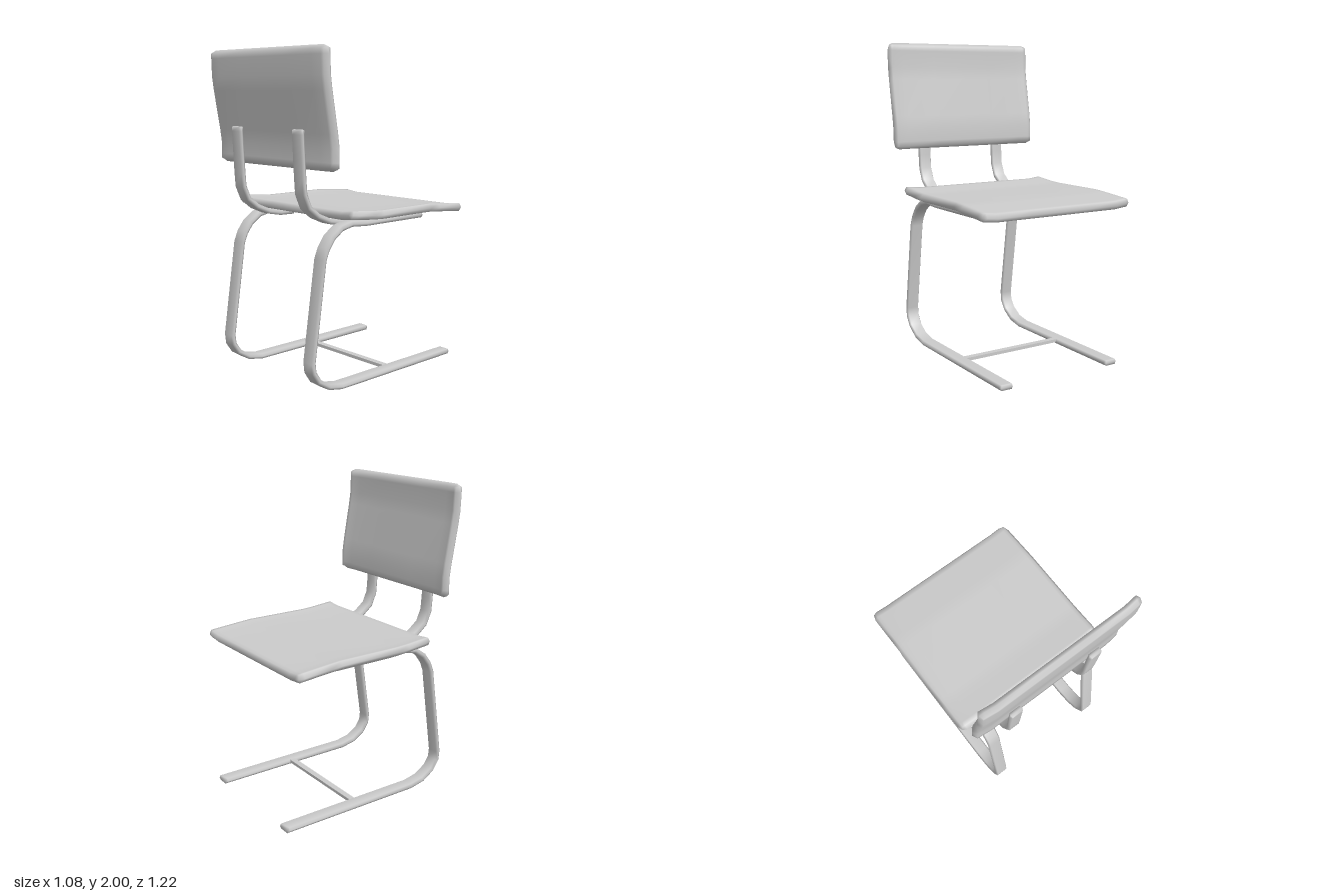
import * as THREE from 'three';
import { mergeVertices } from 'three/addons/utils/BufferGeometryUtils.js';

const material = new THREE.MeshStandardMaterial({ color: 0xcccccc });

// Bent slab with softened edges: follows path ([z, y] points), spans the x
// stations in us, and lifts by curl beyond |x| = 0.43.
function bentSlab(name, path, us, thickness, bevel, curl = 0) {
  const pts = path.map(([z, y]) => new THREE.Vector2(z, y));
  const last = pts.length - 1;
  const frames = pts.map((p, i) => {
    const a = pts[i].clone().sub(pts[Math.max(i - 1, 0)]).normalize();
    const b = pts[Math.min(i + 1, last)].clone().sub(p).normalize();
    const t = a.clone().add(b).normalize();
    const miter = 1 / Math.max(0.7, t.dot(i < last ? b : a));
    return { p, t, miter };
  });

  const nu = us.length - 1;
  const g = new THREE.BoxGeometry(1, 1, 1, nu, 2, last);
  g.deleteAttribute('normal');
  g.deleteAttribute('uv');
  const pos = g.attributes.position;
  for (let k = 0; k < pos.count; k++) {
    const iu = Math.round((pos.getX(k) + 0.5) * nu);
    const n = Math.round(pos.getY(k) * 2);
    const iv = Math.round((pos.getZ(k) + 0.5) * last);
    const { p, t, miter } = frames[iv];
    const sideU = iu === 0 ? 1 : iu === nu ? -1 : 0;
    const sideV = iv === 0 ? 1 : iv === last ? -1 : 0;
    // Rim of the faces sits inside the outline; outline corners are eased too
    const inset = n !== 0 ? bevel : sideU && sideV ? bevel * 0.6 : 0;
    const x = us[iu] + sideU * inset;
    const along = sideV * inset;
    const rise = curl * Math.min(1, Math.max(0, (Math.abs(us[iu]) - 0.43) / 0.09));
    const off = n * thickness / 2 * miter + rise;
    pos.setXYZ(k, x, p.y + t.y * along + t.x * off, p.x + t.x * along - t.y * off);
  }
  const geometry = mergeVertices(g);
  geometry.computeVertexNormals();
  const mesh = new THREE.Mesh(geometry, material);
  mesh.name = name;
  return mesh;
}

export function createModel() {
  const chair = new THREE.Group();
  chair.name = 'cantileverChair';
  const panelStations = [-0.54, -0.5, -0.43, -0.2, 0, 0.2, 0.43, 0.5, 0.54];

  // Seat
  chair.add(bentSlab('seat', [
    [-0.59, 1.0], [-0.54, 1.005], [-0.36, 1.02], [-0.28, 1.026], [0.14, 1.026],
    [0.22, 1.03], [0.35, 1.042], [0.4, 1.047],
  ], panelStations, 0.05, 0.02, 0.01));

  // Backrest
  chair.add(bentSlab('backrest', [
    [0.522, 1.31], [0.521, 1.36], [0.522, 1.44], [0.533, 1.52], [0.575, 1.76],
    [0.586, 1.84], [0.589, 1.95], [0.59, 2.0],
  ], panelStations, 0.05, 0.02, 0.01));

  // Side frames and back supports
  const legPath = [
    [-0.615, 0.02], [-0.59, 0.02], [0.37, 0.02], [0.47, 0.04], [0.55, 0.09],
    [0.59, 0.15], [0.597, 0.21], [0.51, 0.8], [0.485, 0.86], [0.44, 0.92],
    [0.37, 0.968], [0.29, 0.985], [0.17, 0.977], [-0.3, 0.977], [-0.33, 0.977],
  ];
  const supportPath = [
    [0.16, 0.978], [0.19, 0.978], [0.28, 0.98], [0.37, 0.997], [0.46, 1.035],
    [0.53, 1.09], [0.565, 1.17], [0.572, 1.26], [0.585, 1.51], [0.586, 1.545],
  ];
  for (const [side, s] of [['left', 1], ['right', -1]]) {
    const leg = bentSlab(side + 'Leg', legPath, [-0.045, 0.045], 0.032, 0.01);
    leg.position.x = s * 0.385;
    const support = bentSlab(side + 'BackSupport', supportPath, [-0.045, 0.045], 0.032, 0.01);
    support.position.x = s * 0.285;
    chair.add(leg, support);
  }

  // Floor crossbar
  const bar = new THREE.Mesh(new THREE.BoxGeometry(0.7, 0.02, 0.04), material);
  bar.name = 'crossbar';
  bar.position.set(0, 0.025, -0.07);
  chair.add(bar);

  return chair;
}
